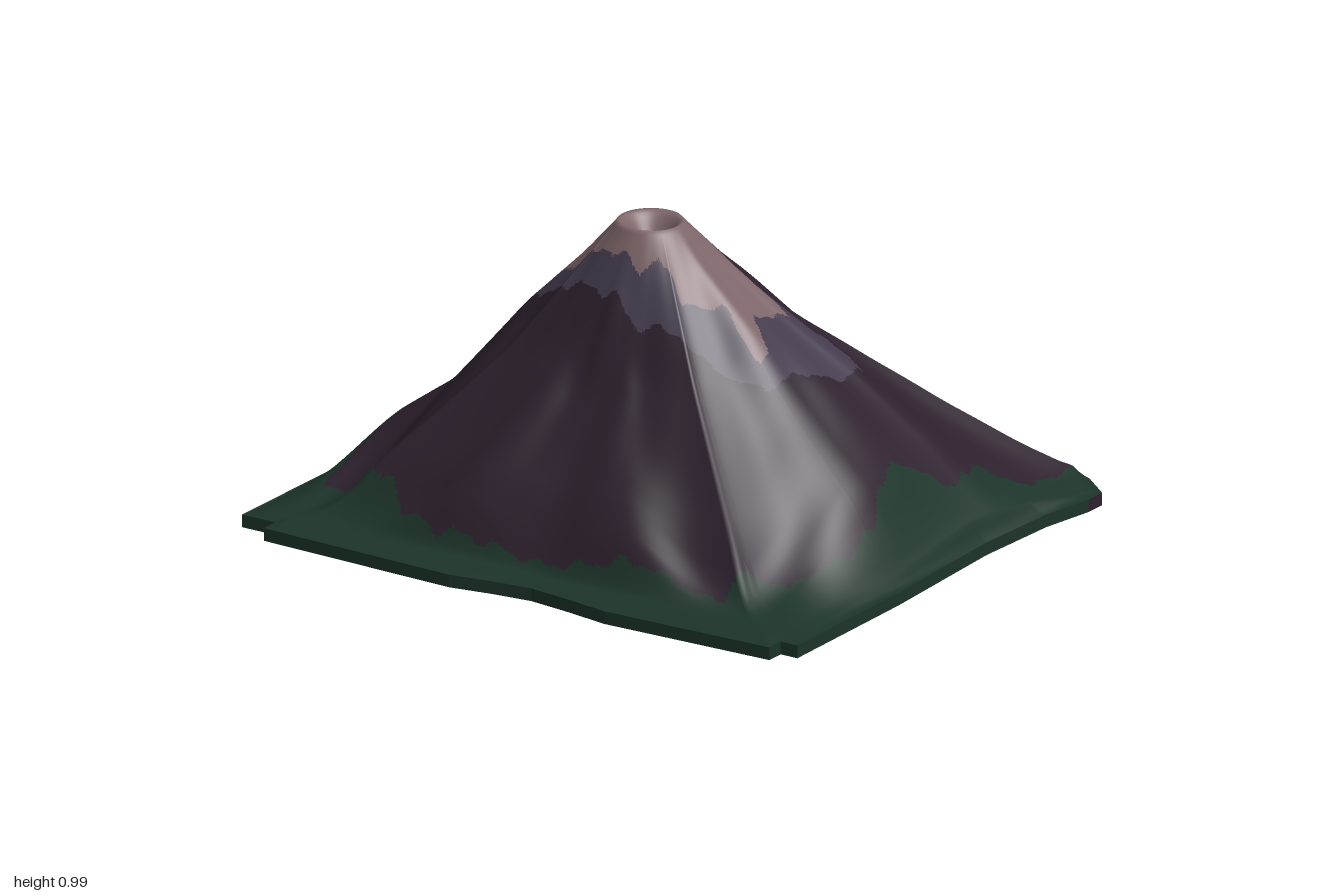
import * as THREE from 'three';

const CX = 0.02, CZ = 0.19, RIM = 0.1, TOP = 0.985, EDGE = 0.04;

// Plan outlines, as x, z pairs
const slabOutline = [[1, 0.85], [0.94, 0.85], [0.94, 0.91], [0.36, 0.93], [0.2, 0.905], [0.07, 0.89], [-0.06, 0.905],
  [-0.2, 0.93], [-0.88, 0.91], [-0.88, 0.85], [-1, 0.85], [-1, -0.65], [-0.88, -0.82], [-0.48, -0.935],
  [0.55, -0.935], [0.9, -0.83], [1, -0.75], [1, -0.68], [0.97, -0.5], [0.96, -0.2], [0.99, 0.3]];
const rockOutline = [[-0.87, -0.82], [0.87, -0.82], [0.87, -0.53], [0.81, -0.38], [0.85, -0.2], [0.78, -0.02],
  [0.78, 0.06], [0.86, 0.24], [0.87, 0.4], [0.8, 0.6], [0.7, 0.66], [0.66, 0.76], [0.2, 0.8],
  [-0.35, 0.8], [-0.5, 0.75], [-0.55, 0.69], [-0.87, 0.62]];
const ashOutline = [[-0.54, 0.02], [-0.4, 0.22], [-0.2, 0.34], [0.1, 0.4], [0.3, 0.37], [0.5, 0.28], [0.52, 0.12],
  [0.56, 0], [0.56, -0.1], [0.52, -0.2], [0.45, -0.23], [0.38, -0.18], [0.33, -0.08], [0.27, 0.02], [0.1, 0.12], [-0.49, 0]];
const capOutline = [[-0.5, 0.03], [-0.42, -0.01], [-0.4, -0.17], [-0.2, -0.09], [-0.21, -0.18], [-0.1, -0.17], [-0.08, -0.1],
  [0.01, 0], [0.05, -0.09], [0.08, 0], [0.14, 0.05], [0.37, -0.02], [0.36, 0.14], [0.45, 0.2],
  [0.45, 0.25], [0.3, 0.23], [0.22, 0.32], [0.13, 0.29], [0.08, 0.34], [-0.2, 0.28], [-0.35, 0.18]];

// Slope profiles, as [distance, height] from the rim to the slab edge
const profile = (...middle) => [[0, TOP], ...middle, [1, EDGE]];
const right = profile([0.09, 0.89], [0.33, 0.7], [0.5, 0.54], [0.79, 0.31], [0.9, 0.15], [0.96, 0.06]);
const left = profile([0.13, 0.85], [0.35, 0.66], [0.65, 0.34], [0.87, 0.2], [0.95, 0.08]);
const front = profile([0.08, 0.88], [0.17, 0.77], [0.33, 0.53], [0.48, 0.41], [0.66, 0.26], [0.76, 0.14], [0.82, 0.06]);
const frontFlank = profile([0.09, 0.87], [0.26, 0.62], [0.48, 0.43], [0.68, 0.28], [0.77, 0.19], [0.83, 0.07]);
const frontCorner = profile([0.1, 0.84], [0.28, 0.59], [0.47, 0.38], [0.61, 0.23], [0.7, 0.11], [0.78, 0.06]);
const back = profile([0.09, 0.89], [0.28, 0.73], [0.48, 0.54], [0.67, 0.33], [0.77, 0.2], [0.9, 0.07]);
const backCorner = profile([0.09, 0.87], [0.25, 0.67], [0.42, 0.48], [0.58, 0.32], [0.75, 0.17], [0.87, 0.08]);
const backRight = profile([0.09, 0.88], [0.3, 0.7], [0.52, 0.53], [0.75, 0.31], [0.88, 0.15]);

// Compass of slopes, in degrees from the left side round the front
const compass = [[0, right], [38, frontCorner], [64, frontFlank], [90, front], [116, frontFlank], [142, frontCorner],
  [180, left], [227, backCorner], [270, back], [313, backCorner], [333, backRight], [360, right]];

function sample(points, u) {
  if (u <= 0) return TOP;
  for (let i = 1; i < points.length; i++) {
    const [a, ha] = points[i - 1], [b, hb] = points[i];
    if (u <= b) return ha + (hb - ha) * (u - a) / (b - a);
  }
  return EDGE;
}
const softSample = (p, u) => {
  const w = Math.max(0, Math.min(0.03, u, 1 - u));
  return (sample(p, u - w) + sample(p, u - w / 2) + sample(p, u) + sample(p, u + w / 2) + sample(p, u + w)) / 5;
};

// Height of the mountainside, blended between neighbouring profiles, with shallow gullies
function slopeHeight(angle, u) {
  const deg = ((angle * 180 / Math.PI) % 360 + 360) % 360;
  const k = compass.findIndex(([d]) => d > deg);
  const [start, from] = compass[k - 1], [end, to] = compass[k];
  const s = THREE.MathUtils.smoothstep(deg, start, end);
  const h = softSample(from, u) * (1 - s) + softSample(to, u) * s;
  const swell = u < 0.85 ? Math.sin(Math.PI * u / 0.85) : 0;
  const ripple = 0.007 * Math.sin(angle * 9 + 5 * u) + 0.004 * Math.sin(angle * 17 - 4 * u + 1);
  const gully = 0.03 * Math.exp(-(((deg - 306) / 9) ** 2)) * Math.exp(-(((u - 0.2) / 0.15) ** 2));
  return Math.max(EDGE, h + ripple * swell - gully);
}

function inside(poly, x, z) {
  let hit = false;
  for (let i = 0, j = poly.length - 1; i < poly.length; j = i++) {
    const [xi, zi] = poly[i], [xj, zj] = poly[j];
    if ((zi > z) !== (zj > z) && x < (xj - xi) * (z - zi) / (zj - zi) + xi) hit = !hit;
  }
  return hit;
}

// Distance from the crater centre to the slab edge along an angle
function edgeDistance(angle) {
  const dx = Math.cos(angle), dz = Math.sin(angle);
  let best = 0;
  slabOutline.forEach(([ax, az], i) => {
    const [bx, bz] = slabOutline[(i + 1) % slabOutline.length];
    const ex = bx - ax, ez = bz - az, px = ax - CX, pz = az - CZ;
    const det = dx * ez - dz * ex;
    if (Math.abs(det) < 1e-9) return;
    const r = (px * ez - pz * ex) / det, s = (px * dz - pz * dx) / det;
    if (r > 0 && s > -1e-6 && s < 1 + 1e-6) best = Math.max(best, r);
  });
  return best;
}

// Distance to the plain rectangle that scales the slopes
function reliefDistance(angle) {
  const dx = Math.cos(angle), dz = Math.sin(angle);
  const toX = (dx > 0 ? 0.985 - CX : 1 + CX) / Math.abs(dx);
  const toZ = (dz > 0 ? 0.925 - CZ : 0.935 + CZ) / Math.abs(dz);
  return Math.min(toX, toZ);
}

export function createModel() {
  const model = new THREE.Group();
  model.name = 'volcano';
  const material = (name, color) => Object.assign(new THREE.MeshStandardMaterial({ color }), { name });
  const rock = material('dark rock', 0x2d212e);
  const green = material('forest green', 0x1d342a);
  const ash = material('grey ash', 0x453c4e);
  const pale = material('pale summit', 0x7e666a);
  const addPart = (name, geometry, mat) => {
    const mesh = new THREE.Mesh(geometry, mat);
    mesh.name = name;
    model.add(mesh);
  };

  // Spokes: evenly spread, plus one at each slab corner
  const angles = slabOutline.map(([x, z]) => Math.atan2(z - CZ, x - CX));
  for (let i = 0; i < 400; i++) angles.push(-Math.PI + (i + 0.37) * Math.PI * 2 / 400);
  angles.sort((a, b) => a - b);
  const n = angles.length, BOWL = 12, SIDE = 120, rings = BOWL + SIDE + 1;

  // Terrain surface: crater bowl, then mountainside out to the slab edge
  const pos = [];
  for (const a of angles) {
    const edge = edgeDistance(a), relief = reliefDistance(a);
    for (let j = 0; j < rings; j++) {
      const u = (j - BOWL) / SIDE;
      const r = u < 0 ? RIM * j / BOWL : RIM + (edge - RIM) * u;
      const fade = Math.min(1, (1 - u) / 0.04);
      const y = u < 0 ? TOP - 0.06 * (1 + Math.cos(Math.PI * j / BOWL))
        : EDGE + (slopeHeight(a, (r - RIM) / (relief - RIM)) - EDGE) * fade;
      pos.push(CX + r * Math.cos(a), y, CZ + r * Math.sin(a));
    }
  }

  // Sort each face into its colour by place, with a slightly ragged border
  const faces = { summitCap: [], ashBand: [], rockSlope: [], greenFoot: [] };
  const region = (x, z) => {
    const wx = x + 0.005 * Math.sin(z * 47) + 0.003 * Math.sin(z * 91);
    const wz = z + 0.005 * Math.sin(x * 43) + 0.003 * Math.sin(x * 83);
    if (inside(capOutline, wx, wz)) return 'summitCap';
    if (inside(ashOutline, wx, wz)) return 'ashBand';
    return inside(rockOutline, wx, wz) ? 'rockSlope' : 'greenFoot';
  };
  const all = [];
  for (let i = 0; i < n; i++) {
    for (let j = 0; j < rings - 1; j++) {
      const a = i * rings + j, b = ((i + 1) % n) * rings + j;
      for (const tri of [[a, b, a + 1], [b, b + 1, a + 1]]) {
        const mean = (axis) => tri.reduce((sum, v) => sum + pos[v * 3 + axis], 0) / 3;
        faces[region(mean(0), mean(2))].push(...tri);
        all.push(...tri);
      }
    }
  }
  const terrain = new THREE.BufferGeometry();
  terrain.setAttribute('position', new THREE.Float32BufferAttribute(pos, 3));
  terrain.setIndex(all);
  terrain.computeVertexNormals();
  const colours = { summitCap: pale, ashBand: ash, rockSlope: rock, greenFoot: green };
  for (const name in faces) {
    const part = new THREE.BufferGeometry();
    part.setAttribute('position', terrain.attributes.position);
    part.setAttribute('normal', terrain.attributes.normal);
    part.setIndex(faces[name]);
    addPart(name, part, colours[name]);
  }

  // Slab edge, rocky along the back, and underside
  const greenWall = [], rockWall = [], under = [];
  slabOutline.forEach(([ax, az], i) => {
    const [bx, bz] = slabOutline[(i + 1) % slabOutline.length];
    const wall = Math.max(az, bz) < -0.6 ? rockWall : greenWall;
    wall.push(ax, EDGE, az, bx, EDGE, bz, ax, 0, az, bx, EDGE, bz, bx, 0, bz, ax, 0, az);
    under.push(CX, 0, CZ, ax, 0, az, bx, 0, bz);
  });
  for (const [name, points, mat] of [['slabEdge', greenWall, green], ['slabBackEdge', rockWall, rock], ['slabUnderside', under, rock]]) {
    const geo = new THREE.BufferGeometry();
    geo.setAttribute('position', new THREE.Float32BufferAttribute(points, 3));
    geo.computeVertexNormals();
    addPart(name, geo, mat);
  }
  return model;
}
